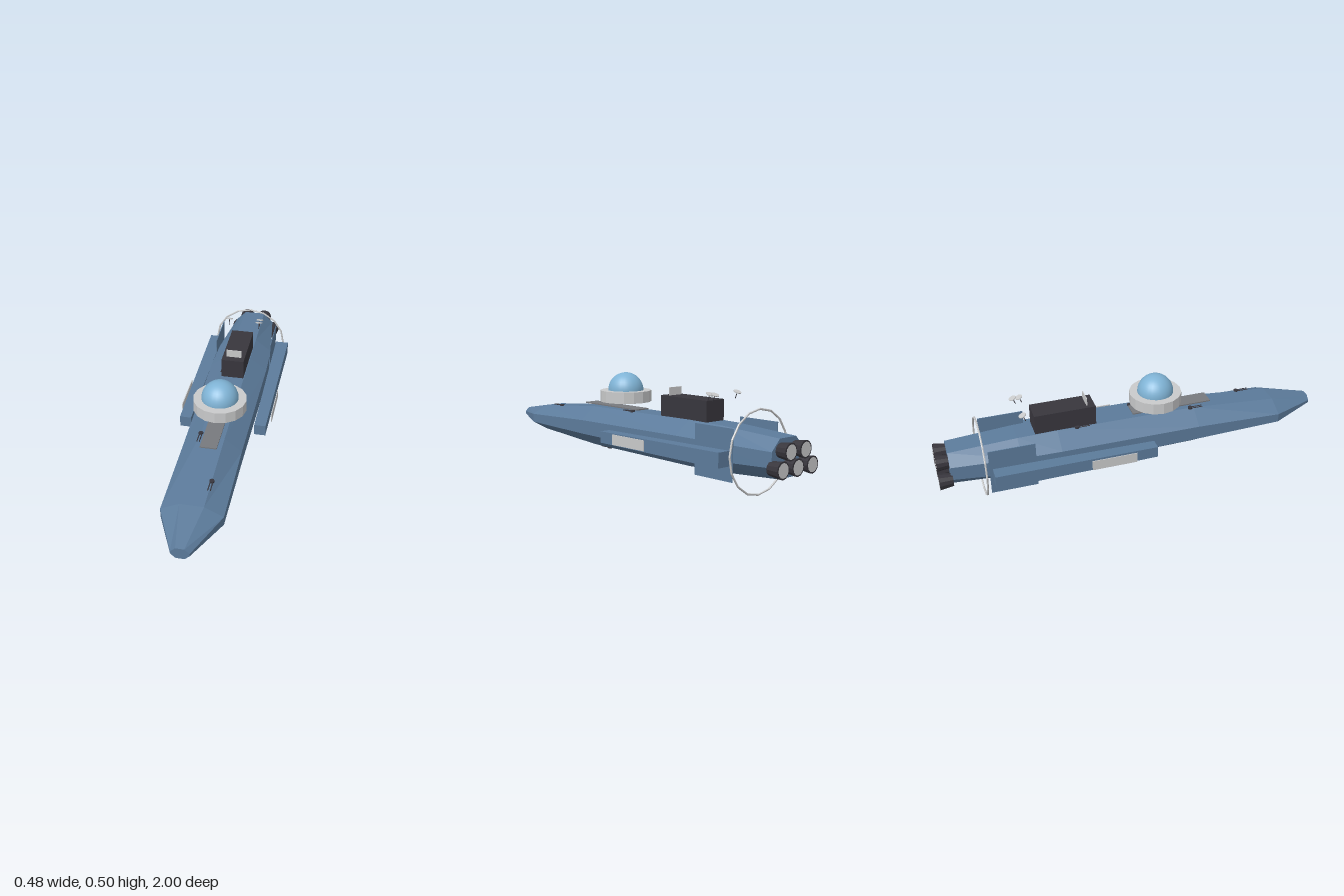
import * as THREE from 'three';

const mat = (name, color) => {
  const m = new THREE.MeshStandardMaterial({ color, flatShading: true });
  m.name = name;
  return m;
};

export function createModel() {
  const root = new THREE.Group();
  root.name = 'spaceship';
  const blue = mat('hullBlue', 0x5c7b9b);
  const dark = mat('darkMetal', 0x38363d);
  const light = mat('lightGrey', 0xc9cacb);
  const grey = mat('deckGrey', 0x77797d);
  const glass = mat('domeBlue', 0x7fb3d5);
  glass.flatShading = false;

  const add = (name, geo, m, x = 0, y = 0, z = 0, parent = root) => {
    const mesh = new THREE.Mesh(geo, m);
    mesh.name = name;
    mesh.position.set(x, y, z);
    parent.add(mesh);
    return mesh;
  };
  const box = (name, w, h, d, m, x, y, z, parent) =>
    add(name, new THREE.BoxGeometry(w, h, d), m, x, y, z, parent);

  // Joins equal cross-sections (listed front to back, counter-clockwise from the front)
  const loft = (rings) => {
    const pos = [];
    const tri = (a, b, c) => pos.push(...a, ...b, ...c);
    const n = rings[0].length;
    for (let i = 0; i < rings.length - 1; i++) {
      for (let j = 0; j < n; j++) {
        const k = (j + 1) % n;
        const [a, b, c, d] = [rings[i][j], rings[i][k], rings[i + 1][k], rings[i + 1][j]];
        tri(a, d, b);
        tri(b, d, c);
      }
    }
    const f = rings[0], e = rings[rings.length - 1];
    for (let j = 1; j < n - 1; j++) {
      tri(f[0], f[j], f[j + 1]);
      tri(e[0], e[j + 1], e[j]);
    }
    const g = new THREE.BufferGeometry();
    g.setAttribute('position', new THREE.Float32BufferAttribute(pos, 3));
    g.computeVertexNormals();
    return g;
  };

  // Eight-sided hull: z, half width, half width of deck, top, bottom, upper and lower side edge
  const stations = [
    [1.0, 0.043, 0.02, 0.227, 0.17, 0.205, 0.192],
    [0.77, 0.145, 0.056, 0.266, 0.13, 0.222, 0.177],
    [0.32, 0.145, 0.06, 0.303, 0.098, 0.236, 0.164],
    [-0.4, 0.153, 0.062, 0.31, 0.088, 0.244, 0.155],
    [-0.6, 0.147, 0.061, 0.307, 0.091, 0.243, 0.157],
    [-0.94, 0.107, 0.055, 0.288, 0.11, 0.235, 0.165],
  ];
  add('hull', loft(stations.map(([z, w, t, top, bot, su, sl]) => [
    [w, sl, z], [w, su, z], [t, top, z], [-t, top, z],
    [-w, su, z], [-w, sl, z], [-t, bot, z], [t, bot, z],
  ])), blue);

  // Side pods, outer panels and tail fins
  const square = (h, z) => [[h, -h, z], [h, h, z], [-h, h, z], [-h, -h, z]];
  for (const s of [1, -1]) {
    const side = s > 0 ? 'left' : 'right';
    add(side + 'Pod', loft([square(0.029, 0.07), square(0.035, -0.745)]), blue, s * 0.193, 0.186, 0);
    box(side + 'PodPanel', 0.004, 0.052, 0.23, light, s * 0.236, 0.188, -0.157);
    box(side + 'Fin', 0.004, 0.24, 0.23, blue, s * 0.152, 0.199, -0.645);
  }

  // Thin hoop round the tail
  add('tailHoop', new THREE.TorusGeometry(0.195, 0.005, 6, 16), light, 0, 0.2, -0.78);

  // Engine nozzles: two above, three below
  for (const [x, y] of [[-0.05, 0.237], [0.05, 0.237], [-0.1, 0.163], [0, 0.163], [0.1, 0.163]]) {
    const engine = new THREE.Group();
    engine.name = 'engine';
    engine.position.set(x, y, -0.965);
    root.add(engine);
    const bell = add('nozzle', new THREE.CylinderGeometry(0.032, 0.041, 0.066, 12), dark, 0, 0, 0, engine);
    bell.rotation.x = Math.PI / 2;
    const outlet = add('nozzleOutlet', new THREE.CircleGeometry(0.034, 12), light, 0, 0, -0.0345, engine);
    outlet.rotation.y = Math.PI;
  }

  // Observation disc with dome
  add('domeBase', new THREE.CylinderGeometry(0.133, 0.133, 0.058, 16), light, 0, 0.374, 0.13);
  add('dome', new THREE.SphereGeometry(0.092, 24, 12, 0, Math.PI * 2, 0, Math.PI / 2), glass, 0, 0.403, 0.13);

  // Deck plate, bridge block and its upright panel
  box('deckPlate', 0.082, 0.006, 0.42, grey, 0, 0.313, 0.208);
  box('bridgeBlock', 0.117, 0.105, 0.31, dark, 0, 0.357, -0.355);
  box('bridgePanel', 0.08, 0.04, 0.004, light, 0, 0.429, -0.24);

  // Tilted sensor dishes on short stems
  for (const [x, z] of [[-0.085, -0.57], [0.083, -0.585], [0.083, -0.553]]) {
    const dish = new THREE.Group();
    dish.name = 'sensorDish';
    dish.position.set(x, 0.447, z);
    dish.rotation.x = -0.4;
    root.add(dish);
    add('dishPlate', new THREE.CylinderGeometry(0.019, 0.019, 0.004, 12), light, 0, 0, 0, dish);
    add('dishStem', new THREE.CylinderGeometry(0.002, 0.002, 0.034, 6), dark, 0, -0.018, 0, dish);
  }

  // Small twin-barrel turrets on deck and belly
  const turrets = [
    [-0.06, 0.304, 0.3], [0.058, 0.281, 0.61], [0.058, 0.308, 0.01],
    [-0.062, 0.311, -0.3], [0.05, 0.095, 0.2], [-0.05, 0.088, -0.48],
  ];
  for (const [x, y, z] of turrets) {
    const turret = new THREE.Group();
    turret.name = 'turret';
    turret.position.set(x, y, z);
    root.add(turret);
    add('turretBase', new THREE.CylinderGeometry(0.012, 0.012, 0.01, 8), dark, 0, 0, 0, turret);
    for (const s of [1, -1]) {
      const barrel = add('barrel', new THREE.CylinderGeometry(0.0025, 0.0025, 0.06, 6), dark, s * 0.006, 0, 0.035, turret);
      barrel.rotation.x = Math.PI / 2;
    }
  }
  return root;
}
